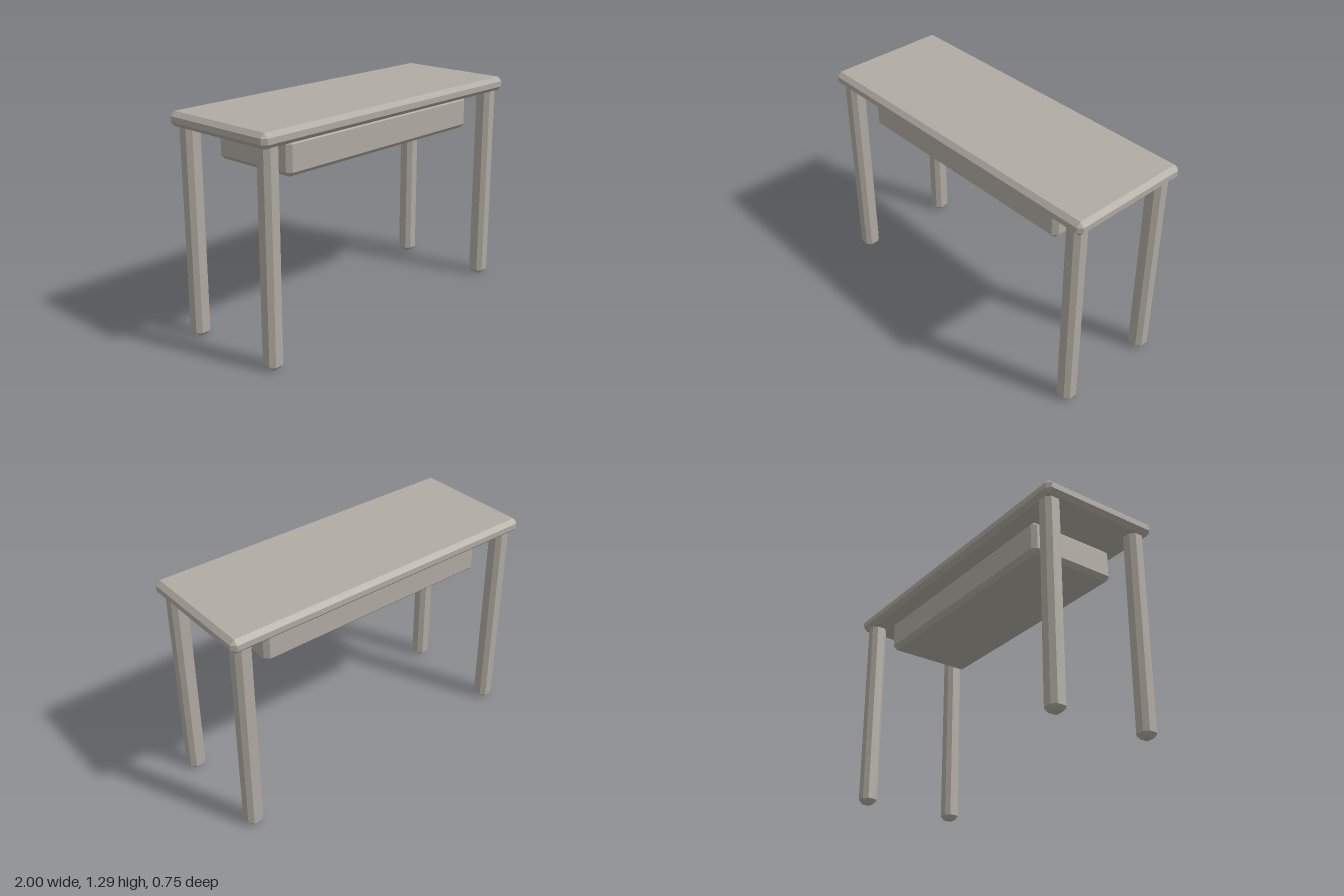
import * as THREE from 'three';
import { ConvexGeometry } from 'three/addons/geometries/ConvexGeometry.js';

const BEVEL = 0.025;

// Box with every edge bevelled and a small triangle at each corner
function bevelledBox(width, height, depth, bevel = BEVEL) {
  const half = [width / 2, height / 2, depth / 2];
  const points = [];
  for (const sx of [-1, 1]) for (const sy of [-1, 1]) for (const sz of [-1, 1]) {
    const signs = [sx, sy, sz];
    // each corner gives three points, one on each of its faces
    for (let face = 0; face < 3; face++) {
      points.push(new THREE.Vector3(
        ...half.map((h, axis) => signs[axis] * (axis === face ? h : h - bevel))
      ));
    }
  }
  return new ConvexGeometry(points);
}

export function createModel() {
  const table = new THREE.Group();
  table.name = 'table';

  const wood = new THREE.MeshStandardMaterial({ color: 0xb0aba2 });
  wood.name = 'greyWood';

  const add = (name, geometry, x, y, z) => {
    const mesh = new THREE.Mesh(geometry, wood);
    mesh.name = name;
    mesh.position.set(x, y, z);
    table.add(mesh);
  };

  // Tabletop
  add('tabletop', bevelledBox(2, 0.083, 0.75), 0, 1.2515, 0);

  // Drawer box hanging just below the top
  add('drawerBox', bevelledBox(1.5, 0.2, 0.56), 0, 1.1, 0);

  // Four legs, their upper ends sunk into the tabletop
  const legHeight = 1.25;
  const leg = bevelledBox(0.1, legHeight, 0.1);
  for (const [side, sx] of [['Left', 1], ['Right', -1]]) {
    for (const [end, sz] of [['front', 1], ['back', -1]]) {
      add(`${end}${side}Leg`, leg, sx * 0.915, legHeight / 2, sz * 0.302);
    }
  }
  return table;
}
